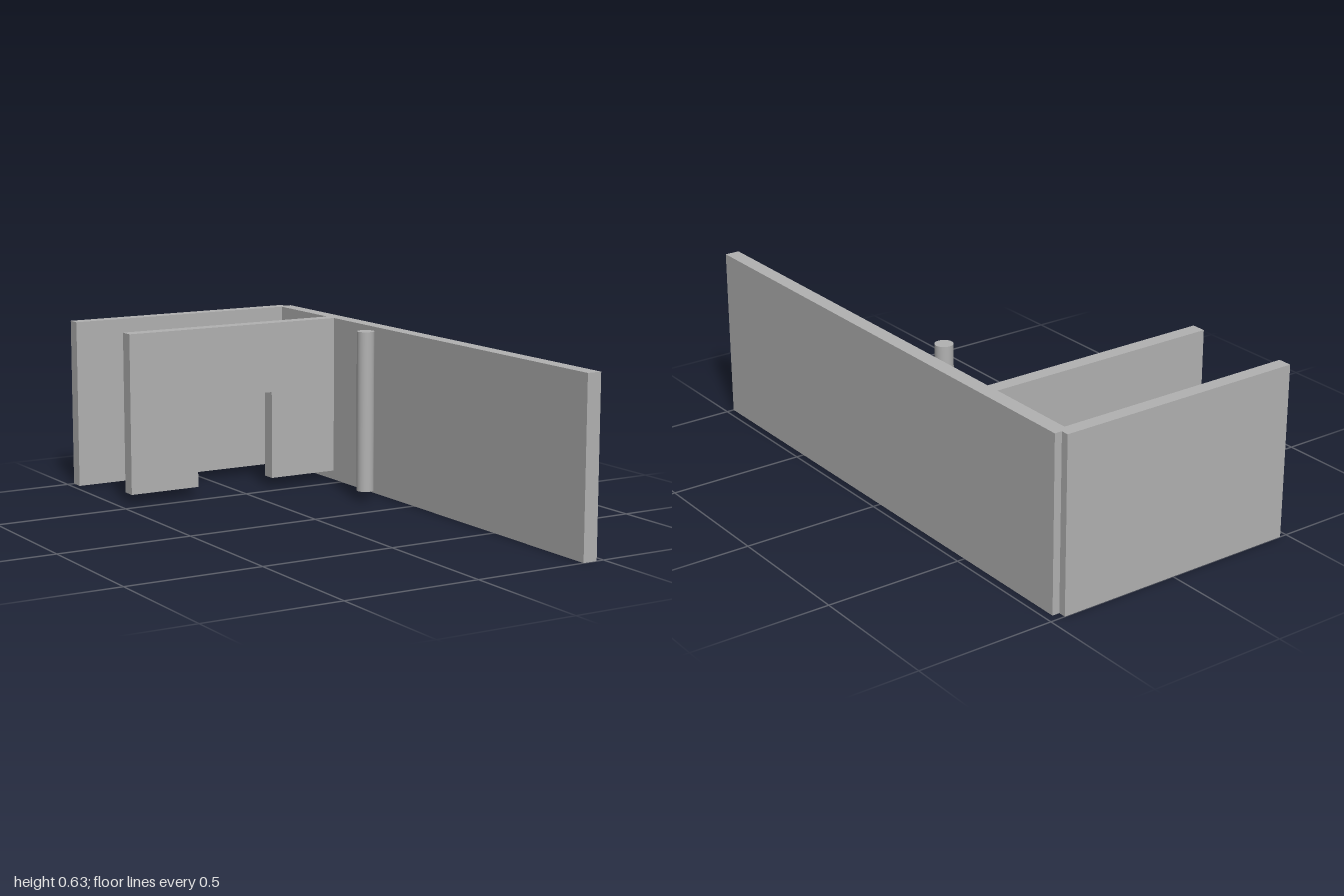
import * as THREE from 'three';

const HEIGHT = 0.627;
const FLOOR = 0.035; // underside of the inner wall and the post

export function createModel() {
  const group = new THREE.Group();
  const plaster = new THREE.MeshStandardMaterial({ color: 0xb2b2b2 });
  plaster.name = 'plaster grey';

  const add = (name, geometry, x, y, z) => {
    const mesh = new THREE.Mesh(geometry, plaster);
    mesh.name = name;
    mesh.position.set(x, y, z);
    group.add(mesh);
  };
  // Full-height wall given by its plan extents
  const wall = (name, x0, x1, z0, z1) =>
    add(name, new THREE.BoxGeometry(x1 - x0, HEIGHT, z1 - z0), (x0 + x1) / 2, HEIGHT / 2, (z0 + z1) / 2);

  // Long side wall and the back wall that laps its corner
  wall('sideWall', 0.418, 0.472, -0.972, 1);
  wall('backWall', -0.473, 0.445, -1, -0.95);

  // Inner wall with a doorway open at the bottom
  const outline = new THREE.Shape([
    [-0.447, FLOOR], [-0.172, FLOOR], [-0.172, 0.365], [0.144, 0.365],
    [0.144, FLOOR], [0.418, FLOOR], [0.418, HEIGHT], [-0.447, HEIGHT],
  ].map(([x, y]) => new THREE.Vector2(x, y)));
  add('doorwayWall', new THREE.ExtrudeGeometry(outline, { depth: 0.052, bevelEnabled: false }), 0, 0, -0.608);

  // Round post beside the long wall
  const postHeight = HEIGHT - FLOOR;
  add('post', new THREE.CylinderGeometry(0.032, 0.032, postHeight, 32), 0.327, FLOOR + postHeight / 2, -0.187);

  return group;
}
